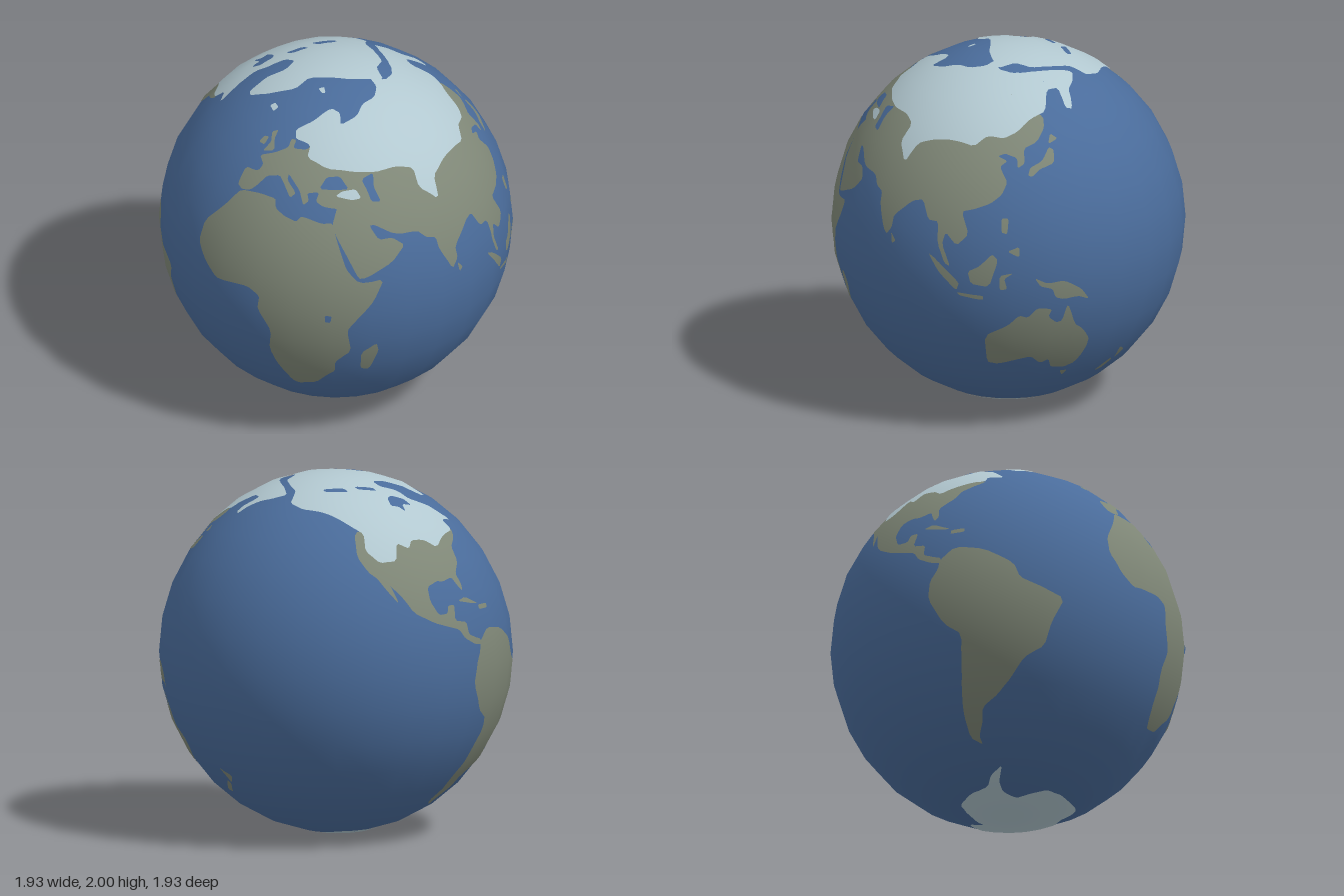
import * as THREE from 'three';

const COLS = 28, ROWS = 16;          // facets of the ball
const RX = 0.967, RY = 0.995;        // slightly narrower than tall
const FRONT_LON = 47;                // longitude facing +z
const RAD = Math.PI / 180;

const paint = (name, color) => Object.assign(new THREE.MeshStandardMaterial({ color }), { name });

// Direction-angle point on the faceted ball (lon east of the front, lat), lifted outwards
function corner(col, row) {
  const a = col / COLS * 2 * Math.PI, t = row / ROWS * Math.PI;
  return new THREE.Vector3(RX * Math.sin(t) * Math.sin(a), RY * Math.cos(t), RX * Math.sin(t) * Math.cos(a));
}
function onBall([lon, lat], lift) {
  const u = (lon - FRONT_LON) / 360 * COLS, v = (90 - lat) / 180 * ROWS;
  const c = Math.floor(u), r = Math.min(ROWS - 1, Math.floor(v));
  const top = corner(c, r).lerp(corner(c + 1, r), u - c);
  const low = corner(c, r + 1).lerp(corner(c + 1, r + 1), u - c);
  const p = top.lerp(low, v - r);
  return p.addScaledVector(p.clone().normalize(), lift);
}

// Charts: plain lon/lat degrees, or a flat plan (x, z in hundredths) over a pole
const flatMap = p => p;
const polar = sign => ([x, z]) => [
  FRONT_LON + Math.atan2(x, z) / RAD,
  sign * Math.acos(Math.min(1, Math.hypot(x, z) / 96.5)) / RAD,
];
const north = polar(1), south = polar(-1);

// Round the corners of an outline a little
function soften(pts) {
  return pts.flatMap((p, i) => {
    const q = pts[(i + 1) % pts.length];
    return [0.15, 0.85].map(t => [p[0] + (q[0] - p[0]) * t, p[1] + (q[1] - p[1]) * t]);
  });
}

// Thin plate wrapped on the ball: triangulate the outline, halve long edges, project
function plate(name, material, flat, lift, chart = flatMap, step = 2) {
  const pts = [];
  for (let i = 0; i < flat.length; i += 2) pts.push([flat[i], flat[i + 1]]);
  const outline = soften(pts).map(p => new THREE.Vector2(p[0], p[1]));
  if (THREE.ShapeUtils.isClockWise(outline)) outline.reverse();
  const pos = [], nor = [];
  const emit = tri => {
    let v = tri.map(p => onBall(chart([p.x, p.y]), lift));
    const n = v[1].clone().sub(v[0]).cross(v[2].clone().sub(v[0]));
    if (n.dot(v[0]) < 0) v = [v[0], v[2], v[1]];
    for (const p of v) {
      pos.push(p.x, p.y, p.z);
      nor.push(...new THREE.Vector3(p.x / RX, p.y, p.z / RX).normalize().toArray());
    }
  };
  const split = tri => {
    const len = tri.map((p, i) => p.distanceTo(tri[(i + 1) % 3]));
    const k = len.indexOf(Math.max(...len));
    if (len[k] <= step) return emit(tri);
    const a = tri[k], b = tri[(k + 1) % 3], c = tri[(k + 2) % 3];
    const m = a.clone().add(b).multiplyScalar(0.5);
    split([a, m, c]);
    split([m, b, c]);
  };
  THREE.ShapeUtils.triangulateShape(outline, []).forEach(f => split(f.map(i => outline[i])));
  const g = new THREE.BufferGeometry();
  g.setAttribute('position', new THREE.Float32BufferAttribute(pos, 3));
  g.setAttribute('normal', new THREE.Float32BufferAttribute(nor, 3));
  const mesh = new THREE.Mesh(g, material);
  mesh.name = name;
  return mesh;
}

// Coastlines as lon, lat pairs
const LAND = {
  africa: [-6, 36, 3, 37, 10, 37, 11, 34, 15, 32, 20, 31, 22, 33, 30, 31, 34, 31.5, 35, 28, 37, 22, 39, 16, 43, 11.5,
    51.5, 12, 48, 5, 42, -2, 39, -6, 40.5, -15, 35, -20, 35, -25, 32, -28, 28, -33, 20, -35, 18, -33, 15, -27, 12, -17,
    13.5, -9, 9, -1, 9.5, 4, 5, 6, -4, 5, -8, 4.5, -13, 8, -17.5, 14, -17, 21, -10, 30],
  europe: [-9, 37, -9, 43, -2, 43.5, -1, 46, -5, 48.5, 2, 51, 8, 54, 8, 57, 11, 57, 11, 54, 19, 54.5, 22, 58, 28, 60,
    40, 62, 60, 62, 60, 36, 45, 34, 36, 36, 30, 36.5, 27, 38, 28, 41, 23, 40.5, 24, 38, 22, 36.5, 19.5, 41, 13, 45.5,
    13, 43.5, 18, 40, 16, 38, 12, 42, 9, 44.5, 3, 43, 0, 39, -2, 37, -6, 36],
  asia: [50, 62, 80, 62, 100, 62, 120, 62, 140, 62, 143, 59, 135, 55, 141, 52, 140, 48, 135, 43, 129, 41, 129, 36,
    126, 34.5, 126, 38, 121, 39.5, 118, 38.5, 122, 37, 119, 35, 122, 30, 120, 26, 116, 23, 110, 21, 106, 20, 109, 13,
    105, 9, 101, 13, 100, 9, 103, 2, 101, 3, 98.5, 9, 98, 16, 94, 16, 91, 22, 87, 21, 80, 15, 80, 11, 77.5, 8, 73, 17,
    72.5, 21, 69, 22, 66, 25, 57, 26, 50, 30, 48, 30, 51, 25, 56, 25, 60, 22, 55, 17, 45, 13, 43, 13, 39, 21, 35, 28,
    34, 31, 36, 37, 50, 40],
  northAmerica: [-124, 48, -124, 40, -120, 34, -117, 32, -114, 28, -110, 23, -112, 29, -114, 31, -109, 26, -105, 20,
    -97, 16, -92, 14.5, -87, 13, -85, 10, -80, 7.5, -76, 7, -77, 9, -79, 9.5, -83, 11, -83, 15, -88, 16, -87, 21,
    -90, 21, -91, 18.5, -95, 18.5, -97.5, 23, -97, 28, -92, 29.5, -89, 29, -84, 30, -82.5, 27, -81, 25, -80, 27,
    -81, 31, -76, 35, -74, 40, -70, 42, -66, 44, -64, 46, -75, 48, -90, 48, -110, 50, -122, 50],
  southAmerica: [-77, 8, -72, 12, -62, 10.5, -52, 5, -50, 0, -44, -2.5, -35, -6, -39, -14, -41, -22, -48, -26,
    -53, -33, -58, -38, -65, -42, -66, -47, -69, -52, -68, -55, -74, -52, -74, -42, -71.5, -30, -70, -18, -76, -14,
    -81, -5, -80, 1, -77.5, 5],
  australia: [114, -22, 114, -34, 118, -35, 124, -33, 131, -31.5, 135, -35, 138, -33, 140, -38, 146, -39, 150, -37,
    153, -30, 153, -26, 149, -21, 146, -19, 142.5, -10.5, 141, -17, 139, -17.5, 136, -15, 137, -12, 132, -11.5,
    129, -15, 126, -14, 122, -18],
  newGuinea: [131, -1, 135, -3, 141, -2.5, 147, -6, 150, -10, 146, -8.5, 141, -9, 138, -8, 137, -5, 133, -4],
  borneo: [109, 1, 113, 3, 117, 7, 119, 5, 116, -4, 110, -3],
  sumatra: [95, 5.5, 98, 4, 106, -3, 105, -6, 100, -1],
  java: [105, -6.5, 114, -7, 114, -8.5, 106, -7.5],
  sulawesi: [119.5, 0, 124, 1, 121, -1, 122, -4.5, 119.5, -5],
  luzon: [120, 18.5, 122.5, 18.5, 122, 13.5, 120, 14],
  mindanao: [122, 8, 126, 9.5, 126, 6],
  japanSouth: [130, 32, 131, 34.5, 136, 36.5, 140, 41, 142, 40, 141, 35.5, 135, 34, 131.5, 31.5],
  japanNorth: [140, 42, 142, 45.5, 145, 43.5],
  madagascar: [44, -16, 49, -12, 50, -16, 47, -25, 44, -24],
  southIndianIsle: [79.8, 9.5, 82, 7, 80.5, 5.8],
  britain: [-5, 50, 1, 51.5, -2, 55, -3, 58.5, -6, 57, -3, 54],
  ireland: [-10, 52, -6, 52, -6, 55, -9, 54.5],
  cuba: [-85, 22, -81, 23, -74, 20, -78, 20.5],
  hispaniola: [-74, 19.5, -69, 19.5, -69, 18, -74, 18],
  tasmania: [145, -41, 148.5, -41, 147, -43.7],
  newZealandNorth: [173, -35, 178.5, -38, 175, -41.5, 174, -38],
  newZealandSouth: [172.5, -40.5, 174, -42, 169, -46.7, 166.5, -45.5],
};

// Snow and sea ice on the plan over the north pole
const SNOW = {
  americanSnow: [-33, -69, -24, -73, -16, -70, -15, -62, -8, -59, 8, -50, 18, -46, 25, -38, 23, -32, 22, -28, 25, -18,
    27, -6, 22, 2, 24, 12, 14, 13, 4, 12, -5, 9, -16, 6, -25, 11, -38, 7, -48, -1, -47, -5, -38, -8, -26, -9, -20, -15,
    -24, -20, -34, -19, -40, -22, -50, -18, -62, -14, -58, -22, -63, -25, -58, -38, -55, -48, -48, -50, -41, -55,
    -40, -60, -33, -61],
  eurasianSnow: [16, 11, 25, 12, 30, 6, 31, 0, 30, -10, 28, -20, 27, -29, 35, -27, 42, -23, 54, -22, 54, -18, 42, -17,
    44, -10, 57, -6, 60, 3, 65, 12, 66, 20, 62, 28, 63, 36, 55, 45, 47, 55, 42, 62, 43, 70, 32, 69, 30, 62, 20, 63,
    8, 66, -4, 65, -18, 61, -27, 53, -24, 48, -31, 42, -30, 37, -20, 36, -9, 31, -5, 35, -6, 42, 4, 38, 8, 31, 16, 26,
    19, 18],
  icelandSnow: [-40, 15, -37, 15, -36, 19, -39, 20],
  arcticIsleSnow: [-13, 16, -10, 16, -10, 20, -12, 20],
};

// Inland water: lon/lat seas, and northern straits on the polar plan
const SEAS = {
  blackSea: [28, 42, 31, 46, 37, 46.5, 41, 42, 35, 42],
  caspianSea: [47, 45, 53, 46.5, 52, 42, 54, 37, 50, 37.5, 49, 41],
  africanLake: [31.7, 0.3, 34, 0.3, 33.5, -2.3, 31.8, -2.3],
};
const STRAITS = {
  hudsonBay: [-38, -38, -34, -36, -30, -38, -28, -32, -30, -28, -37, -26, -41, -29, -36, -32],
  middleStrait: [-22, -28, -12, -30, -10, -27, -20, -25],
  westernStrait: [-7, -34, 6, -34, 7, -31, -4, -30],
};

// Antarctic coast as lon, lat
const ANTARCTIC = [-160, -78, -150, -77, -130, -74, -100, -73, -75, -72, -68, -67, -58, -63, -62, -70, -60, -75,
  -40, -78, -25, -75, -10, -71, 10, -70, 30, -69, 45, -67, 55, -66, 70, -69, 85, -66.5, 110, -66, 130, -66, 145, -67,
  160, -70, 170, -72, 165, -78, 180, -78];

export function createModel() {
  const globe = new THREE.Group();
  globe.name = 'globe';
  const ocean = paint('ocean blue', 0x4a6c9b);
  const land = paint('land olive', 0x7f8777);
  const snow = paint('snow white', 0xb2c8d0);

  // Ocean ball
  const ball = new THREE.Mesh(new THREE.SphereGeometry(1, COLS, ROWS).scale(RX, RY, RX), ocean);
  ball.name = 'oceanBall';
  globe.add(ball);

  // Layers of thin plates: land, then snow, then water
  for (const [n, p] of Object.entries(LAND)) globe.add(plate(n, land, p, 0.0025));
  for (const [n, p] of Object.entries(SNOW)) globe.add(plate(n, snow, p, 0.005, north, 3));
  globe.add(plate('caucasusSnow', snow, [35, 40, 38, 41.5, 44, 42, 46, 39, 42, 38.5], 0.005));
  const plan = [];
  for (let i = 0; i < ANTARCTIC.length; i += 2) {
    const a = (ANTARCTIC[i] - FRONT_LON) * RAD, r = 96.5 * Math.cos(ANTARCTIC[i + 1] * RAD);
    plan.push(r * Math.sin(a), r * Math.cos(a));
  }
  globe.add(plate('antarcticSnow', snow, plan, 0.005, south, 3));
  for (const [n, p] of Object.entries(SEAS)) globe.add(plate(n, ocean, p, 0.0075));
  for (const [n, p] of Object.entries(STRAITS)) globe.add(plate(n, ocean, p, 0.0075, north, 3));

  globe.children.forEach(m => { m.position.y = 1; });
  return globe;
}
